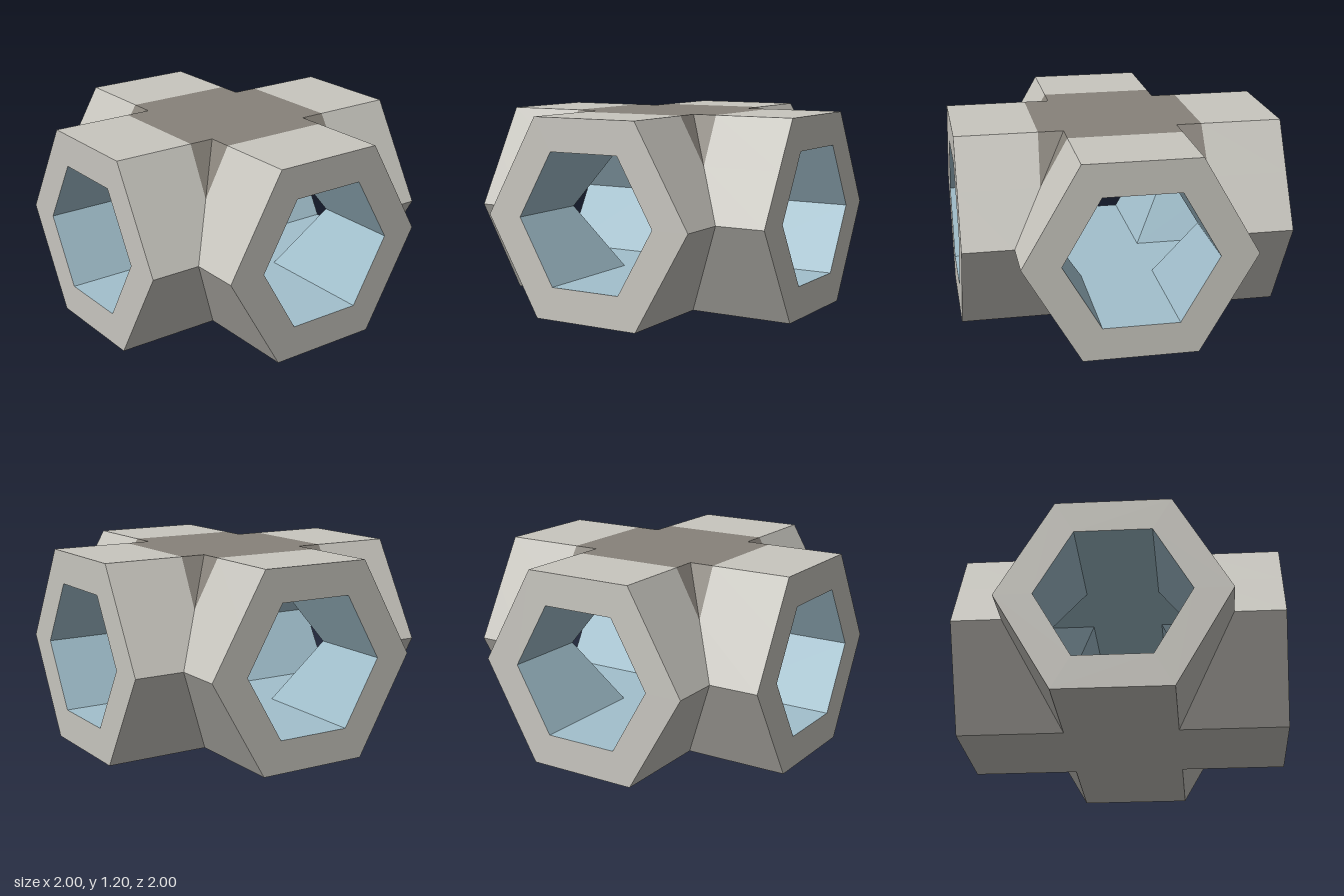
import * as THREE from 'three';

const OUTER = 1.2 / Math.sqrt(3);   // hexagon corner radius, outside
const INNER = 0.8 / Math.sqrt(3);   // hexagon corner radius, bore
const CENTRE_Y = 0.6;
const PATCH = 0.5;                  // half width of the dark roof patch
const PATCH_TIP = 0.513;            // where the patch ends in the valleys

// Counter-clockwise hexagon from bottom centre, split at x = 0 and at the patch tips
function hexProfile(r) {
  const h = r * Math.sqrt(3) / 2;
  const half = [[0, -h], [r / 2, -h], [r, 0]];
  if (r > PATCH_TIP) half.push([PATCH_TIP, (r - PATCH_TIP) * Math.sqrt(3)]);
  half.push([r / 2, h], [0, h]);
  const mirrored = half.slice(1, -1).reverse().map(([x, y]) => [-x, y]);
  return [...half, ...mirrored];
}

// Quad strip between two closed loops of points, skipping collapsed triangles
function strip(loopA, loopB, flip = false) {
  const pos = [];
  const tri = (...pts) => {
    const [a, b, c] = pts.map((p) => new THREE.Vector3(...p));
    if (b.clone().sub(a).cross(c.clone().sub(a)).length() < 1e-6) return;
    for (const p of flip ? [a, c, b] : [a, b, c]) pos.push(p.x, p.y + CENTRE_Y, p.z);
  };
  loopA.forEach((a0, i) => {
    const j = (i + 1) % loopA.length;
    tri(a0, loopA[j], loopB[j]);
    tri(a0, loopB[j], loopB[i]);
  });
  const geo = new THREE.BufferGeometry();
  geo.setAttribute('position', new THREE.Float32BufferAttribute(pos, 3));
  geo.computeVertexNormals();
  return geo;
}

export function createModel() {
  const material = (name, color) => {
    const m = new THREE.MeshStandardMaterial({ color });
    m.name = name;
    return m;
  };
  const hull = material('hull grey', 0xc8c6bf);
  const dark = material('dark grey', 0x87827a);
  const glass = material('bore blue', 0xa2c0cd);

  const outer = hexProfile(OUTER);
  const inner = hexProfile(INNER);
  const at = (profile, z) => profile.map(([x, y]) => [x, y, z]);
  // Mitre: each arm begins on the diagonal planes z = |x|
  const mitre = (profile) => profile.map(([x, y]) => [x, y, Math.abs(x)]);
  const tipY = (OUTER - PATCH_TIP) * Math.sqrt(3) - 1e-6;
  const patchEdge = outer.map(([x, y]) => {
    const ax = Math.abs(x);
    return [x, y, y < tipY ? ax : Math.max(PATCH, ax)];
  });
  // End ring uses plain hexagons so both loops match
  const corners = (r) => Array.from({ length: 6 }, (_, k) =>
    [r * Math.cos(k * Math.PI / 3), r * Math.sin(k * Math.PI / 3), 1]);

  const parts = [
    ['armShell', strip(patchEdge, at(outer, 1)), hull],
    ['roofPatch', strip(mitre(outer), patchEdge), dark],
    ['boreLining', strip(mitre(inner), at(inner, 1), true), glass],
    ['endRing', strip(corners(OUTER), corners(INNER)), hull],
  ];

  // Four identical arms form the crossing
  const group = new THREE.Group();
  group.name = 'hexagonalTubeCrossing';
  ['frontArm', 'leftArm', 'backArm', 'rightArm'].forEach((name, k) => {
    const arm = new THREE.Group();
    arm.name = name;
    arm.rotation.y = k * Math.PI / 2;
    for (const [part, geo, mat] of parts) {
      const mesh = new THREE.Mesh(geo, mat);
      mesh.name = part;
      arm.add(mesh);
    }
    group.add(arm);
  });
  return group;
}
